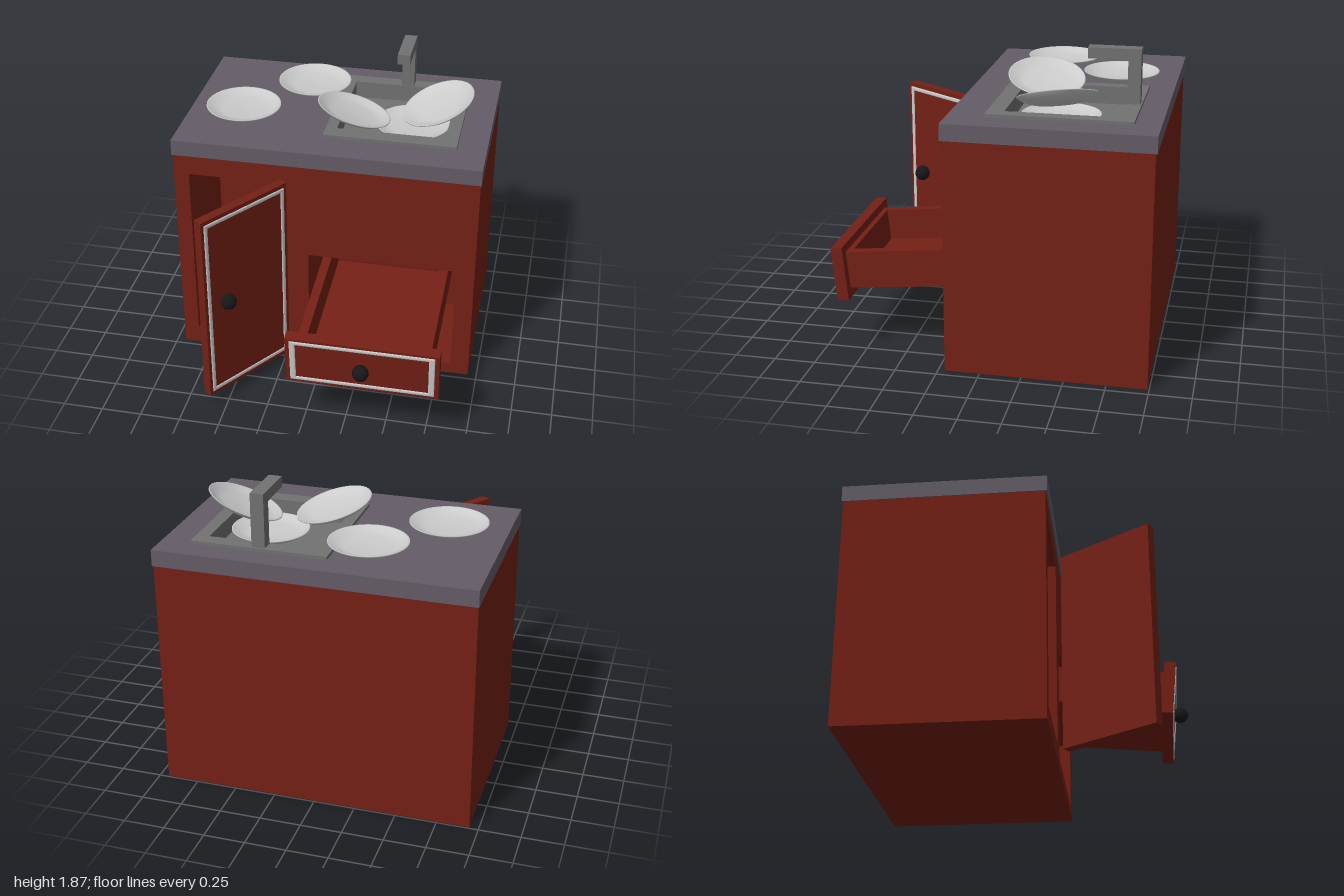
import * as THREE from 'three';

const mat = (color) => new THREE.MeshStandardMaterial({ color });
const wood = mat(0x742015);
const stone = mat(0x645c67);
const steel = mat(0x727272);
const china = mat(0xcccccc);
const black = mat(0x181818);

function add(parent, name, geometry, material, x = 0, y = 0, z = 0) {
  const mesh = new THREE.Mesh(geometry, material);
  mesh.name = name;
  mesh.position.set(x, y, z);
  parent.add(mesh);
  return mesh;
}

// Box given by its lower and upper limits on each axis
function box(parent, name, material, [x0, x1], [y0, y1], [z0, z1]) {
  return add(parent, name, new THREE.BoxGeometry(x1 - x0, y1 - y0, z1 - z0), material,
    (x0 + x1) / 2, (y0 + y1) / 2, (z0 + z1) / 2);
}

const rect = (Type, [x0, x1, y0, y1]) => new Type([
  new THREE.Vector2(x0, y0), new THREE.Vector2(x1, y0),
  new THREE.Vector2(x1, y1), new THREE.Vector2(x0, y1),
]);

// Rectangular slab pierced by rectangular holes
function slab(outer, holes, depth, bevel = 0) {
  const shape = rect(THREE.Shape, outer);
  shape.holes = holes.map((h) => rect(THREE.Path, h));
  return new THREE.ExtrudeGeometry(shape, {
    depth, bevelEnabled: bevel > 0, bevelSize: bevel, bevelThickness: bevel,
    bevelOffset: -bevel, bevelSegments: 2,
  });
}

// Raised border around a panel front
function trim(parent, w, h, sideWidth, railWidth, z) {
  const a = w / 2, b = h / 2;
  const hole = [-a + sideWidth, a - sideWidth, -b + railWidth, b - railWidth];
  add(parent, 'trim', slab([-a, a, -b, b], [hole], 0.004, 0.008), china, 0, 0, z - 0.006);
}

const knob = (parent, x, y, z) =>
  add(parent, 'knob', new THREE.SphereGeometry(0.05, 12, 8), black, x, y, z);

function buildCabinet(root) {
  const cabinet = new THREE.Group();
  cabinet.name = 'cabinet';
  // Front block with the door and drawer recesses, closed by the back block
  const recesses = [[-0.85, -0.25, 0.11, 1.29], [-0.1, 0.83, 0.07, 0.79]];
  add(cabinet, 'carcass', slab([-0.945, 0.945, 0, 1.42], recesses, 0.65), wood, 0, 0, -0.44);
  box(cabinet, 'cabinetBack', wood, [-0.945, 0.945], [0, 1.42], [-0.99, -0.44]);
  // Worktop, open over the basin
  const top = slab([-0.95, 0.95, -1, 0.22], [[0.01, 0.7, -0.77, -0.09]], 0.1);
  add(cabinet, 'worktop', top.rotateX(Math.PI / 2), stone, 0, 1.52, 0);
  root.add(cabinet);
}

function buildDoor(root) {
  const door = new THREE.Group();
  door.name = 'door';
  add(door, 'doorPanel', new THREE.BoxGeometry(0.665, 1.27, 0.06), wood);
  trim(door, 0.625, 1.22, 0.028, 0.028, 0.03);
  knob(door, -0.18, 0.03, 0.063);
  door.position.set(-0.43, 0.705, 0.535);
  door.rotation.y = 0.972;
  root.add(door);
}

function buildDrawer(root) {
  const drawer = new THREE.Group();
  drawer.name = 'drawer';
  add(drawer, 'drawerFront', new THREE.BoxGeometry(0.92, 0.335, 0.07), wood);
  // Open tray behind the front
  box(drawer, 'drawerFloor', wood, [-0.4, 0.4], [-0.11, -0.08], [-1.07, -0.035]);
  for (const s of [-1, 1]) {
    const x = [s * 0.345, s * 0.4].sort((a, b) => a - b);
    box(drawer, 'drawerSide', wood, x, [-0.11, 0.12], [-1.07, -0.035]);
  }
  box(drawer, 'drawerBack', wood, [-0.345, 0.345], [-0.08, 0.12], [-1.07, -1.02]);
  box(drawer, 'drawerInnerFront', wood, [-0.345, 0.345], [-0.08, 0.12], [-0.07, -0.035]);
  trim(drawer, 0.87, 0.305, 0.038, 0.027, 0.035);
  knob(drawer, 0, 0, 0.072);
  drawer.position.set(0.37, 0.51, 0.878);
  drawer.rotation.x = 0.1;
  root.add(drawer);
}

function buildSink(root) {
  const sink = new THREE.Group();
  sink.name = 'sink';
  const basin = slab([-0.05, 0.77, -0.85, 0], [[0.02, 0.69, -0.76, -0.1]], 0.115);
  add(sink, 'basin', basin.rotateX(Math.PI / 2), steel, 0, 1.54, 0);
  box(sink, 'basinFloor', steel, [0.02, 0.69], [1.415, 1.43], [-0.76, -0.1]);
  // Angular tap
  const tap = new THREE.Shape([
    [0.84, 1.53], [0.765, 1.53], [0.765, 1.8], [0.53, 1.8], [0.53, 1.865], [0.84, 1.865],
  ].map(([x, y]) => new THREE.Vector2(-x, y)));
  const tapGeometry = new THREE.ExtrudeGeometry(tap, { depth: 0.08, bevelEnabled: false });
  add(sink, 'tap', tapGeometry.rotateY(-Math.PI / 2), steel, 0.4, 0, 0);
  root.add(sink);
}

function buildPlates(root) {
  const profile = [
    [0, 0], [0.14, 0], [0.155, 0.004], [0.2, 0.02], [0.235, 0.044], [0.234, 0.05],
    [0.226, 0.049], [0.19, 0.029], [0.14, 0.016], [0, 0.012],
  ].map(([x, y]) => new THREE.Vector2(x, y));
  const plate = new THREE.LatheGeometry(profile, 48);
  plate.translate(0, -0.045, 0);
  // Rim centre, then tilt about x and z
  const places = [
    [-0.605, 1.575, -0.235, 0, 0],
    [-0.235, 1.58, -0.655, 0, 0],
    [0.1, 1.605, -0.24, -0.12, -0.27],
    [0.605, 1.625, -0.39, 0.15, 0.36],
    [0.45, 1.475, -0.39, 0, 0],
  ];
  for (const [x, y, z, rx, rz] of places) {
    add(root, 'plate', plate, china, x, y, z).rotation.set(rx, 0, rz);
  }
}

export function createModel() {
  const root = new THREE.Group();
  root.name = 'kitchenSinkUnit';
  buildCabinet(root);
  buildDoor(root);
  buildDrawer(root);
  buildSink(root);
  buildPlates(root);
  return root;
}
